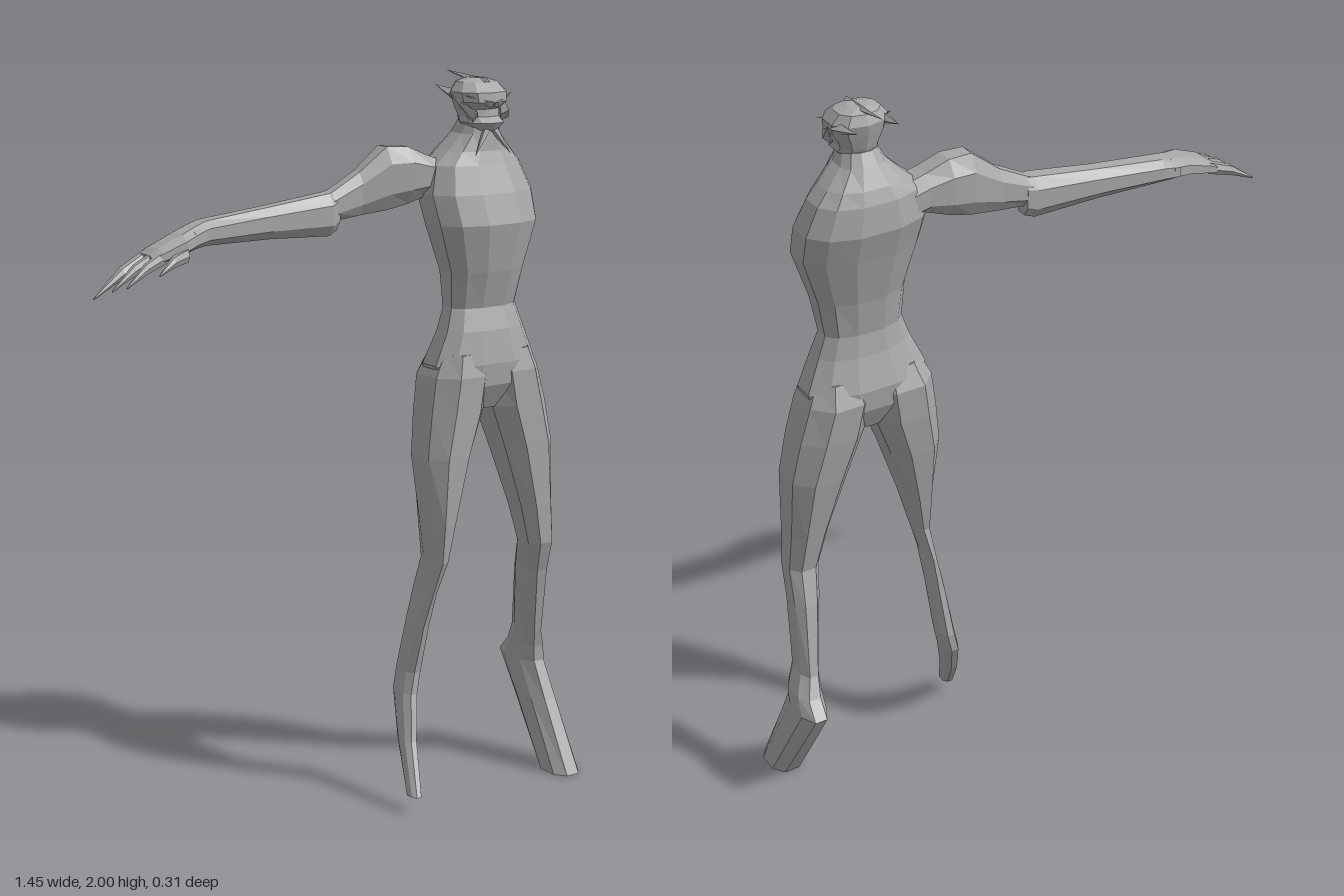
import * as THREE from 'three';

const skin = new THREE.MeshStandardMaterial({ color: 0xa8a8a8, flatShading: true });
skin.name = 'greySkin';

// Reverse the faces when the closed shape is inside out
function faceOutward(pos, idx) {
  const [a, b, c] = [new THREE.Vector3(), new THREE.Vector3(), new THREE.Vector3()];
  let volume = 0;
  for (let i = 0; i < idx.length; i += 3) {
    a.fromArray(pos, idx[i] * 3);
    b.fromArray(pos, idx[i + 1] * 3);
    c.fromArray(pos, idx[i + 2] * 3);
    volume += a.dot(b.cross(c));
  }
  return volume < 0 ? idx.reverse() : idx;
}

// Closed skin through rounded sections.
// axis 'y': [y, xMin, xMax, zMin, zMax]; axis 'x': [x, yMin, yMax, zMin, zMax]
function loft(name, axis, rows, sides = 8, power = 0.85) {
  const pos = [], idx = [];
  const put = (t, a, b) => (axis === 'y' ? pos.push(a, t, b) : pos.push(t, a, b));
  const bend = (v) => Math.sign(v) * Math.abs(v) ** power;
  for (const [t, a0, a1, b0, b1] of rows) {
    for (let i = 0; i < sides; i++) {
      const q = ((i + 0.5) / sides) * Math.PI * 2;
      const fit = bend(Math.cos(Math.PI / sides));
      put(t, (a0 + a1) / 2 + ((a1 - a0) / 2) * bend(Math.cos(q)) / fit,
        (b0 + b1) / 2 + ((b1 - b0) / 2) * bend(Math.sin(q)) / fit);
    }
  }
  for (let r = 0; r < rows.length - 1; r++) {
    for (let i = 0; i < sides; i++) {
      const a = r * sides + i, b = r * sides + ((i + 1) % sides);
      idx.push(a, b, a + sides, b, b + sides, a + sides);
    }
  }
  const last = (rows.length - 1) * sides;
  for (let i = 1; i < sides - 1; i++) {
    idx.push(0, i + 1, i, last, last + i, last + i + 1);
  }
  const geo = new THREE.BufferGeometry();
  geo.setAttribute('position', new THREE.Float32BufferAttribute(pos, 3));
  geo.setIndex(faceOutward(pos, idx));
  geo.computeVertexNormals();
  const mesh = new THREE.Mesh(geo, skin);
  mesh.name = name;
  return mesh;
}

// Tapered spike between two points, flattened by its width and depth
function spike(name, from, to, width, depth) {
  const a = new THREE.Vector3(...from), b = new THREE.Vector3(...to);
  const geo = new THREE.ConeGeometry(1, a.distanceTo(b), 4);
  geo.scale(width, 1, depth);
  const mesh = new THREE.Mesh(geo, skin);
  mesh.name = name;
  mesh.position.copy(a).add(b).multiplyScalar(0.5);
  mesh.quaternion.setFromUnitVectors(new THREE.Vector3(0, 1, 0), b.sub(a).normalize());
  return mesh;
}

function createHead() {
  const head = new THREE.Group();
  head.name = 'head';
  const mid = 0.43;
  // Skull with jaw, mouth, eye hollow and overhanging brow
  head.add(loft('skull', 'y', [
    [1.855, 0.395, 0.465, -0.04, 0.055],
    [1.875, 0.375, 0.485, -0.055, 0.068],
    [1.89, 0.378, 0.482, -0.06, 0.045],
    [1.91, 0.37, 0.49, -0.065, 0.042],
    [1.93, 0.358, 0.502, -0.07, 0.066],
    [1.955, 0.355, 0.505, -0.075, 0.062],
    [1.98, 0.375, 0.485, -0.065, 0.03],
    [1.99, 0.405, 0.455, -0.045, 0.0],
  ], 10, 0.9));
  head.add(spike('crest', [mid, 1.975, 0.03], [mid, 2.0, -0.15], 0.016, 0.014));
  for (const s of [-1, 1]) {
    head.add(spike('sideHorn', [mid + s * 0.06, 1.945, -0.03], [mid + s * 0.055, 1.965, -0.125], 0.02, 0.016));
    head.add(spike('cheekPlate', [mid + s * 0.05, 1.89, 0.045], [mid + s * 0.085, 1.955, -0.03], 0.012, 0.022));
    head.add(spike('brow', [mid + s * 0.005, 1.925, 0.062], [mid + s * 0.08, 1.95, 0.035], 0.012, 0.012));
    head.add(spike('neckSinew', [mid + s * 0.01, 1.86, 0.045], [mid + s * 0.06, 1.79, 0.06], 0.012, 0.012));
  }
  return head;
}

function createArm() {
  const arm = new THREE.Group();
  arm.name = 'rightArm';
  arm.add(loft('upperArm', 'x', [
    [0.34, 1.67, 1.77, -0.10, 0.01],
    [0.28, 1.685, 1.79, -0.105, 0.0],
    [0.22, 1.665, 1.817, -0.115, -0.01],
    [0.16, 1.652, 1.82, -0.115, -0.025],
    [0.08, 1.643, 1.757, -0.11, -0.045],
    [0.0, 1.635, 1.715, -0.11, -0.045],
    [-0.04, 1.63, 1.7, -0.11, -0.045],
  ]));
  arm.add(loft('forearm', 'x', [
    [0.01, 1.61, 1.715, -0.112, -0.05],
    [-0.02, 1.598, 1.71, -0.116, -0.035],
    [-0.2, 1.605, 1.688, -0.122, -0.05],
    [-0.39, 1.605, 1.668, -0.134, -0.052],
    [-0.44, 1.6, 1.655, -0.13, -0.035],
  ]));
  arm.add(loft('palm', 'x', [
    [-0.42, 1.602, 1.66, -0.132, -0.045],
    [-0.48, 1.592, 1.645, -0.118, -0.015],
    [-0.55, 1.577, 1.618, -0.112, -0.015],
    [-0.575, 1.572, 1.602, -0.105, -0.02],
  ]));
  // Fingers: root x, knuckle z, tip x, tip y, tip z, half width
  for (const [x0, z0, x1, y1, z1, w] of [
    [-0.55, -0.09, -0.725, 1.506, -0.06, 0.018],
    [-0.55, -0.055, -0.69, 1.525, -0.03, 0.012],
    [-0.54, -0.03, -0.665, 1.535, 0.0, 0.012],
    [-0.48, -0.02, -0.58, 1.56, 0.016, 0.014],
  ]) {
    const xm = (x0 + x1) / 2, ym = (1.597 + y1) / 2 + 0.008, zm = (z0 + z1) / 2;
    arm.add(loft('finger', 'x', [
      [x0, 1.58, 1.612, z0 - w, z0 + w],
      [xm, ym - 0.013, ym + 0.013, zm - w * 0.85, zm + w * 0.85],
      [x1, y1 - 0.002, y1 + 0.002, z1 - 0.002, z1 + 0.002],
    ], 6));
  }
  return arm;
}

export function createModel() {
  const figure = new THREE.Group();
  figure.name = 'figure';

  // Torso from neck to crotch
  figure.add(loft('torso', 'y', [
    [1.88, 0.385, 0.475, -0.06, 0.04],
    [1.845, 0.37, 0.49, -0.08, 0.045],
    [1.8, 0.325, 0.535, -0.105, 0.05],
    [1.765, 0.285, 0.565, -0.118, 0.062],
    [1.69, 0.262, 0.597, -0.125, 0.09],
    [1.61, 0.272, 0.597, -0.102, 0.113],
    [1.48, 0.312, 0.555, -0.07, 0.092],
    [1.38, 0.323, 0.54, -0.055, 0.066],
    [1.32, 0.302, 0.56, -0.062, 0.085],
    [1.23, 0.262, 0.598, -0.085, 0.1],
    [1.17, 0.28, 0.585, -0.08, 0.096],
    [1.1, 0.38, 0.48, -0.045, 0.06],
  ], 12));
  figure.add(createHead(), createArm());

  // Left leg with a raised heel and blunt foot
  figure.add(loft('leftLeg', 'y', [
    [1.26, 0.45, 0.575, -0.065, 0.085],
    [1.2, 0.43, 0.603, -0.09, 0.1],
    [1.1, 0.447, 0.632, -0.082, 0.1],
    [0.98, 0.49, 0.655, -0.065, 0.1],
    [0.8, 0.547, 0.655, -0.03, 0.097],
    [0.69, 0.573, 0.66, -0.01, 0.093],
    [0.6, 0.592, 0.665, -0.04, 0.062],
    [0.4, 0.628, 0.68, -0.085, 0.018],
    [0.35, 0.634, 0.705, -0.115, 0.005],
    [0.305, 0.636, 0.71, -0.155, 0.003],
    [0.2, 0.637, 0.718, -0.092, 0.052],
    [0, 0.635, 0.725, 0.035, 0.157],
  ]));

  // Right leg, thinner below the knee, with a narrow trailing foot
  figure.add(loft('rightLeg', 'y', [
    [1.26, 0.285, 0.41, -0.065, 0.085],
    [1.2, 0.255, 0.43, -0.09, 0.1],
    [1.1, 0.24, 0.415, -0.082, 0.1],
    [0.98, 0.225, 0.37, -0.065, 0.1],
    [0.8, 0.236, 0.31, -0.03, 0.097],
    [0.69, 0.243, 0.28, -0.01, 0.09],
    [0.6, 0.24, 0.262, -0.035, 0.06],
    [0.5, 0.222, 0.258, -0.05, 0.035],
    [0.36, 0.207, 0.25, -0.075, 0.01],
    [0.3, 0.192, 0.236, -0.07, 0.015],
    [0.18, 0.162, 0.2, -0.005, 0.06],
    [0.05, 0.126, 0.158, 0.09, 0.138],
  ]));
  return figure;
}
